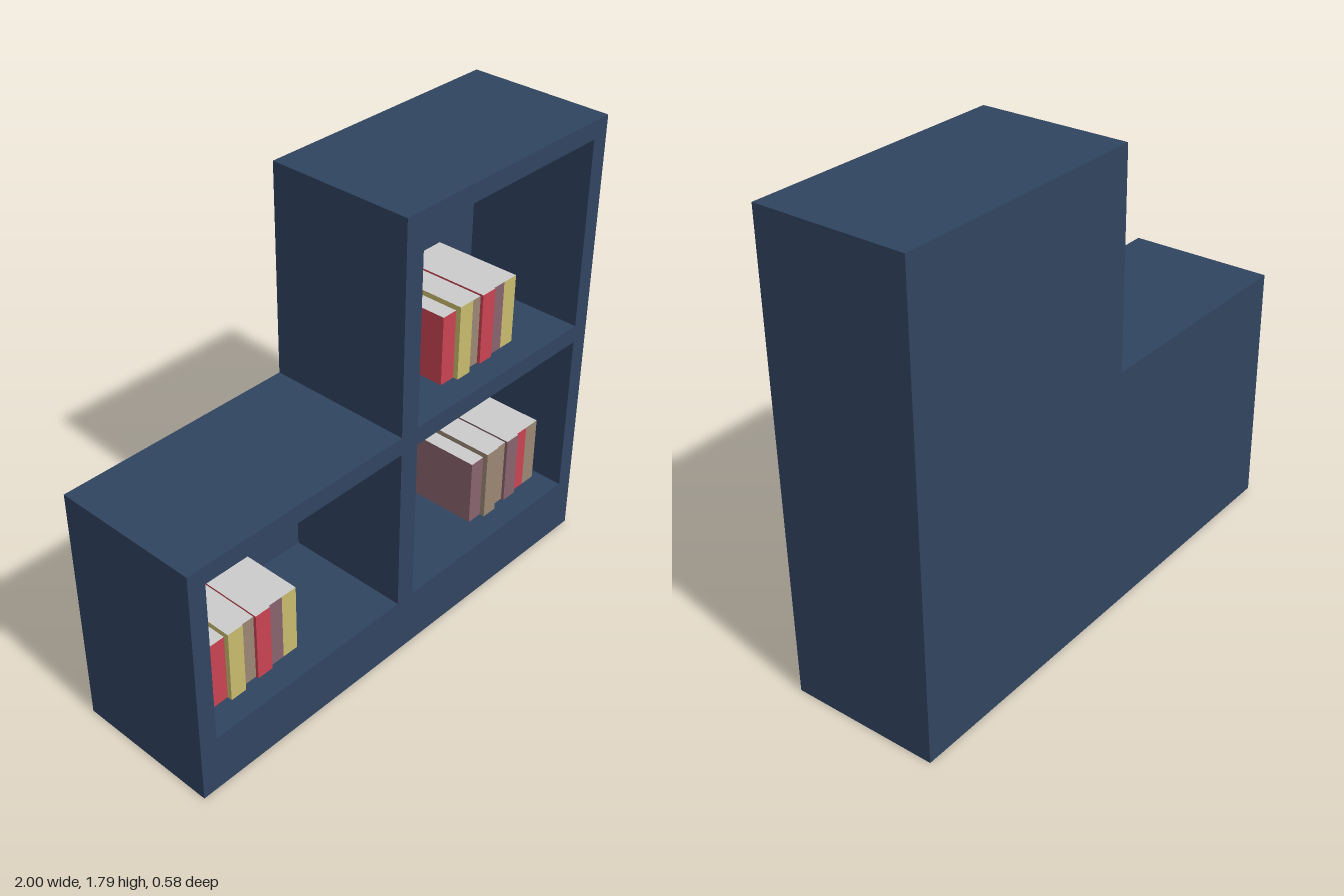
import * as THREE from 'three';
import { mergeGeometries } from 'three/addons/utils/BufferGeometryUtils.js';

const HALF_DEPTH = 0.29, BACK_Z = -0.215;
const paint = (color) => new THREE.MeshStandardMaterial({ color });
const WOOD = paint(0x304460), PAGES = paint(0xcccccc);
const R = paint(0xc94352), Y = paint(0xc8bb6d), T = paint(0x9b8774), M = paint(0x89646d);

// Compartment openings: left, right, bottom, top
const OPENINGS = [
  [-0.93, -0.04, 0.23, 0.9],
  [0.04, 0.93, 0.23, 0.9],
  [0.04, 0.93, 0.97, 1.72],
];

const polygon = (points) => points.map(([x, y]) => new THREE.Vector2(x, y));

// Stepped outline of the case
const outline = () => new THREE.Shape(polygon([
  [-1, 0], [1, 0], [1, 1.79], [-0.04, 1.79], [-0.04, 0.97], [-1, 0.97],
]));

// Inward-facing box without its front
function recess([l, r, b, t]) {
  const depth = HALF_DEPTH - BACK_Z;
  const g = new THREE.BoxGeometry(r - l, t - b, depth).scale(1, 1, -1);
  g.clearGroups();
  g.setIndex(Array.from(g.index.array).slice(0, 30));
  g.computeVertexNormals();
  return g.translate((l + r) / 2, (b + t) / 2, BACK_Z + depth / 2).toNonIndexed();
}

function makeCase() {
  // Outer sides and back: the extrusion minus its front cap
  const solid = new THREE.ExtrudeGeometry(outline(), { depth: 2 * HALF_DEPTH, bevelEnabled: false });
  const caps = solid.groups[0].count;
  const kept = [];
  for (let i = 0; i < solid.attributes.position.count; i++) {
    if (i < caps / 2 || i >= caps) kept.push(i);
  }
  solid.clearGroups();
  solid.setIndex(kept);
  const outer = solid.toNonIndexed().translate(0, 0, -HALF_DEPTH);

  // Front frame with the openings cut out
  const face = outline();
  for (const [l, r, b, t] of OPENINGS) {
    face.holes.push(new THREE.Path(polygon([[l, b], [l, t], [r, t], [r, b]])));
  }
  const front = new THREE.ShapeGeometry(face).toNonIndexed().translate(0, 0, HALF_DEPTH);

  const mesh = new THREE.Mesh(mergeGeometries([outer, front, ...OPENINGS.map(recess)]), WOOD);
  mesh.name = 'bookcase';
  return mesh;
}

// Row of six books; the second and fourth stand taller and further forward
function makeBooks(name, x, y, spines) {
  const row = new THREE.Group();
  row.name = name;
  const width = 0.0663, depth = 0.355;
  const rise = [0, 0.02, 0, 0.007, 0, 0];
  const forward = [0, 0.02, 0, 0.012, 0, 0];
  spines.forEach((spine, i) => {
    const height = 0.276 + rise[i];
    const cover = i === 5 ? R : spine;
    const book = new THREE.Mesh(
      new THREE.BoxGeometry(width, height, depth),
      [cover, cover, PAGES, PAGES, spine, PAGES],
    );
    book.name = 'book';
    book.position.set(x + (i + 0.5) * width, y + height / 2, 0.0025 + forward[i]);
    row.add(book);
  });
  return row;
}

export function createModel() {
  const model = new THREE.Group();
  model.name = 'steppedBookcase';
  model.add(
    makeCase(),
    makeBooks('leftBooks', 0.497, 0.23, [M, T, T, M, R, T]),
    makeBooks('rightBooks', -0.843, 0.23, [R, Y, T, R, M, Y]),
    makeBooks('upperBooks', 0.289, 0.97, [R, Y, T, R, M, Y]),
  );
  return model;
}
